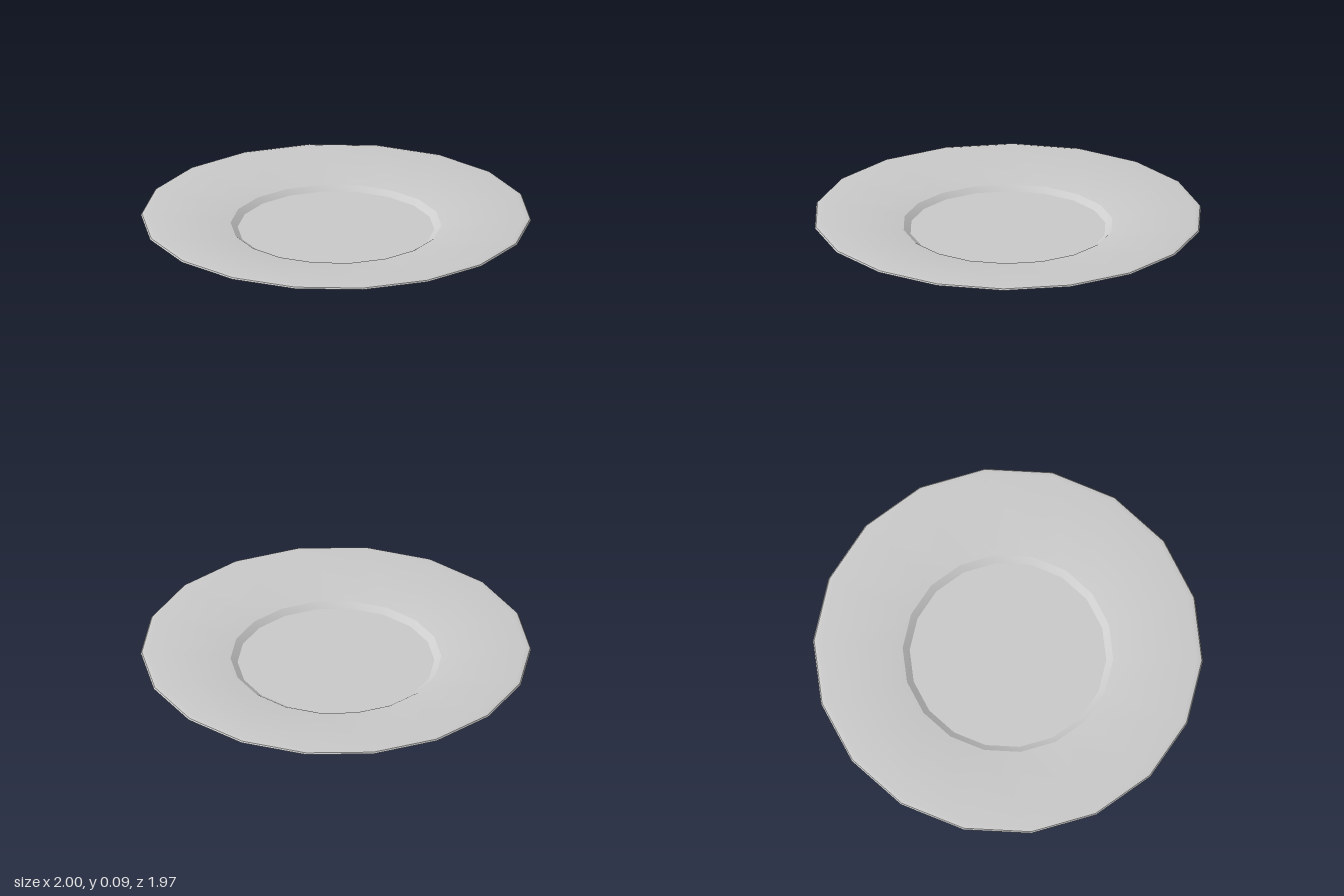
import * as THREE from 'three';
import { toCreasedNormals } from 'three/addons/utils/BufferGeometryUtils.js';

const SIDES = 18;

// Turn a radius/height profile (underside first) with a corner on the x axis
function turned(name, profile) {
  const points = profile.map(([r, y]) => new THREE.Vector2(r, y));
  const lathe = new THREE.LatheGeometry(points, SIDES, Math.PI / 2);
  const geometry = toCreasedNormals(lathe, THREE.MathUtils.degToRad(25));
  const material = new THREE.MeshStandardMaterial({ color: 0xcccccc, side: THREE.DoubleSide });
  const mesh = new THREE.Mesh(geometry, material);
  mesh.name = name;
  return mesh;
}

export function createModel() {
  const plate = new THREE.Group();
  plate.name = 'plate';

  // Flat base with a short, slightly flared foot
  plate.add(turned('foot', [[0, 0], [0.563, 0], [0.58, 0.028]]));

  // Broad sloping underside, rounded lip and upper face of the rim
  plate.add(turned('rim', [
    [0.58, 0.028], [0.97, 0.066], [1, 0.073], [0.994, 0.08], [0.97, 0.085], [0.54, 0.037],
  ]));

  // Bevelled step down to the flat well
  plate.add(turned('well', [[0.54, 0.037], [0.504, 0.014], [0, 0.014]]));

  return plate;
}
